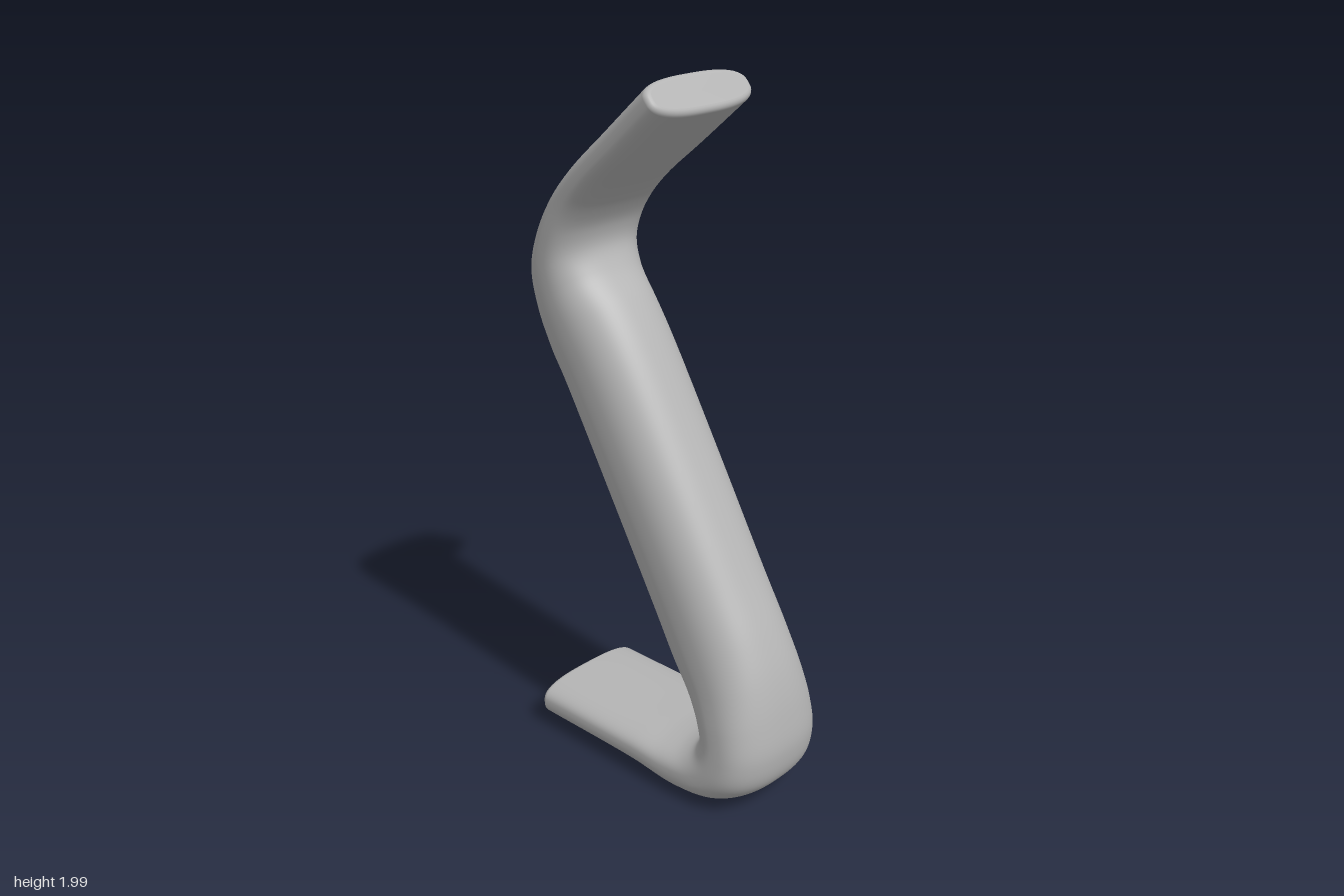
import * as THREE from 'three';

// Sections from the top end to the foot: [backZ, backY, frontZ, frontY, halfWidth]
const SECTIONS = [
  [0.053, 2.0, 0.127, 1.913, 0.187],
  [-0.1, 1.87, -0.025, 1.783, 0.181],
  [-0.24, 1.75, -0.15, 1.678, 0.175],
  [-0.33, 1.652, -0.205, 1.615, 0.17],
  [-0.4, 1.53, -0.236, 1.56, 0.168],
  [-0.434, 1.42, -0.243, 1.505, 0.165],
  [-0.423, 1.3, -0.215, 1.445, 0.16],
  [-0.387, 1.19, -0.15, 1.37, 0.155],
  [-0.34, 1.108, -0.075, 1.262, 0.152],
  [-0.17, 0.81, 0.1, 0.964, 0.151],
  [0, 0.514, 0.265, 0.672, 0.152],
  [0.074, 0.39, 0.35, 0.52, 0.156],
  [0.135, 0.315, 0.395, 0.415, 0.163],
  [0.18, 0.255, 0.424, 0.3, 0.175],
  [0.198, 0.21, 0.434, 0.19, 0.183],
  [0.185, 0.18, 0.41, 0.1, 0.188],
  [0.15, 0.162, 0.32, 0.03, 0.19],
  [0.09, 0.151, 0.18, 0.008, 0.19],
  [0, 0.148, 0, 0.024, 0.189],
  [-0.376, 0.148, -0.376, 0.026, 0.187],
];
const SIDES = 72;
const BEVEL = 0.016;

// Edge curves; the x component of the back curve carries the half width
const backEdge = new THREE.CatmullRomCurve3(
  SECTIONS.map(([z, y, , , w]) => new THREE.Vector3(w, y, z)));
const frontEdge = new THREE.CatmullRomCurve3(
  SECTIONS.map(([, , z, y]) => new THREE.Vector3(0, y, z)));

const power = (v, e) => Math.sign(v) * Math.abs(v) ** e;

// One rounded cross-section, pulled in by inset near the ends
function ring(u, inset) {
  const back = backEdge.getPoint(u), front = frontEdge.getPoint(u);
  const halfWidth = back.x - inset;
  back.x = 0;
  const centre = back.clone().add(front).multiplyScalar(0.5);
  const half = front.sub(back).multiplyScalar(0.5);
  half.setLength(half.length() - inset);
  const flat = THREE.MathUtils.smoothstep(half.length(), 0.06, 0.15);
  const exponent = 2 / (2.8 - 0.4 * flat);
  const points = [];
  for (let j = 0; j < SIDES; j++) {
    const a = (j / SIDES) * Math.PI * 2;
    const p = centre.clone().addScaledVector(half, power(Math.sin(a), exponent));
    p.x = halfWidth * power(Math.cos(a), exponent);
    points.push(p);
  }
  return points;
}

// All rings, with a small rounded edge at both ends
function makeRings() {
  const spans = SECTIONS.length - 1;
  const topLength = 0.2, footLength = 0.376;
  const rings = [], steps = 6;
  const inset = (k) => BEVEL * (1 - Math.sin((k / steps) * Math.PI / 2));
  const depth = (k) => BEVEL * (1 - Math.cos((k / steps) * Math.PI / 2));
  for (let k = 0; k <= steps; k++) rings.push(ring(depth(k) / topLength / spans, inset(k)));
  const count = spans * 8;
  for (let i = 2; i <= count - 2; i++) rings.push(ring(i / count, 0));
  for (let k = steps; k >= 0; k--) rings.push(ring(1 - depth(k) / footLength / spans, inset(k)));
  return rings;
}

function skin(rings) {
  const positions = rings.flat().flatMap((p) => p.toArray());
  const index = [];
  for (let i = 0; i < rings.length - 1; i++) {
    for (let j = 0; j < SIDES; j++) {
      const a = i * SIDES + j, b = i * SIDES + (j + 1) % SIDES;
      index.push(a, b, a + SIDES, b, b + SIDES, a + SIDES);
    }
  }
  return toGeometry(positions, index);
}

function cap(points, flip) {
  const centre = points.reduce((s, p) => s.add(p), new THREE.Vector3()).divideScalar(SIDES);
  const positions = [centre, ...points].flatMap((p) => p.toArray());
  const index = [];
  for (let j = 0; j < SIDES; j++) {
    const a = 1 + j, b = 1 + (j + 1) % SIDES;
    index.push(0, flip ? b : a, flip ? a : b);
  }
  return toGeometry(positions, index);
}

function toGeometry(positions, index) {
  const geometry = new THREE.BufferGeometry();
  geometry.setAttribute('position', new THREE.Float32BufferAttribute(positions, 3));
  geometry.setIndex(index);
  geometry.computeVertexNormals();
  return geometry;
}

export function createModel() {
  const group = new THREE.Group();
  group.name = 'bentHandle';
  const grey = new THREE.MeshStandardMaterial({ color: 0xb4b4b4 });
  grey.name = 'plain grey';

  const add = (name, geometry) => {
    const mesh = new THREE.Mesh(geometry, grey);
    mesh.name = name;
    group.add(mesh);
  };

  const rings = makeRings();
  add('bentBar', skin(rings));
  add('topEnd', cap(rings[0], true));
  add('footEnd', cap(rings[rings.length - 1], false));
  return group;
}
